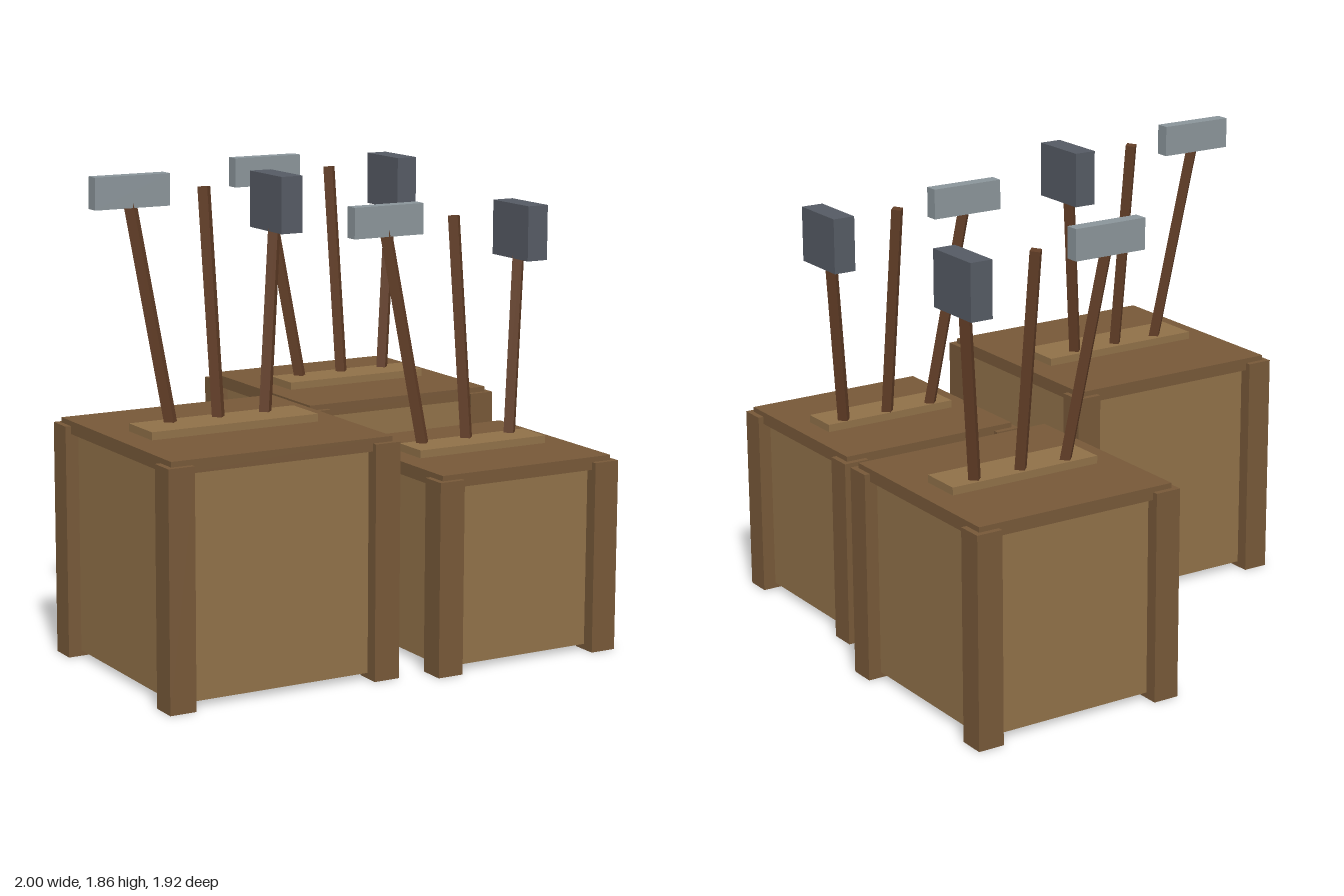
import * as THREE from 'three';

const paint = (color) => new THREE.MeshStandardMaterial({ color, flatShading: true });
const darkWood = paint(0x765838);
const lightWood = paint(0x8f7048);
const handleWood = paint(0x613d26);
const steel = paint(0x8a9499);
const iron = paint(0x555a63);

function box(parent, name, material, size, position) {
  const mesh = new THREE.Mesh(new THREE.BoxGeometry(...size), material);
  mesh.name = name;
  mesh.position.set(...position);
  parent.add(mesh);
}

// Four-sided handle running between two points
function handle(parent, from, to) {
  const a = new THREE.Vector3(...from);
  const b = new THREE.Vector3(...to);
  const dir = b.clone().sub(a);
  const mesh = new THREE.Mesh(new THREE.CylinderGeometry(0.027, 0.027, dir.length(), 4), handleWood);
  mesh.name = 'handle';
  mesh.position.copy(a).add(b).multiplyScalar(0.5);
  mesh.quaternion.setFromUnitVectors(new THREE.Vector3(0, 1, 0), dir.normalize());
  parent.add(mesh);
}

// Fan of three tools; y = 0 is the top of the rack they stand in
function createTools() {
  const tools = new THREE.Group();
  tools.name = 'tools';
  for (const side of [-1, 0, 1]) {
    handle(tools, [side * 0.198, -0.02, -0.045], [side * 0.308, side ? 0.82 : 0.853, -0.153]);
  }
  box(tools, 'flatHead', steel, [0.305, 0.12, 0.055], [-0.307, 0.853, -0.153]);
  box(tools, 'blockHead', iron, [0.09, 0.215, 0.245], [0.308, 0.777, -0.153]);
  return tools;
}

// Crate with a cubic body of width w, corner posts, lid and tool rack
function createCrate(w) {
  const crate = new THREE.Group();
  crate.name = 'toolCrate';
  box(crate, 'body', lightWood, [w, w, w], [0, 0.022 + w / 2, 0]);
  for (const sx of [-1, 1]) {
    for (const sz of [-1, 1]) {
      box(crate, 'cornerPost', darkWood, [0.105, w + 0.05, 0.105],
        [sx * w / 2, (w + 0.05) / 2, sz * w / 2]);
    }
  }
  box(crate, 'lid', darkWood, [w + 0.06, 0.05, w + 0.06], [0, w + 0.045, 0]);
  box(crate, 'rack', lightWood, [w * 0.82, 0.03, w * 0.22], [0, w + 0.085, 0]);
  const tools = createTools();
  tools.position.y = w + 0.1;
  crate.add(tools);
  return crate;
}

export function createModel() {
  const model = new THREE.Group();
  model.name = 'toolCrates';
  // Body width, x and z of each crate
  for (const [w, x, z] of [[0.85, -0.523, 0.404], [0.775, 0.556, -0.525], [0.695, 0.481, 0.559]]) {
    const crate = createCrate(w);
    crate.position.set(x, 0, z);
    model.add(crate);
  }
  return model;
}
